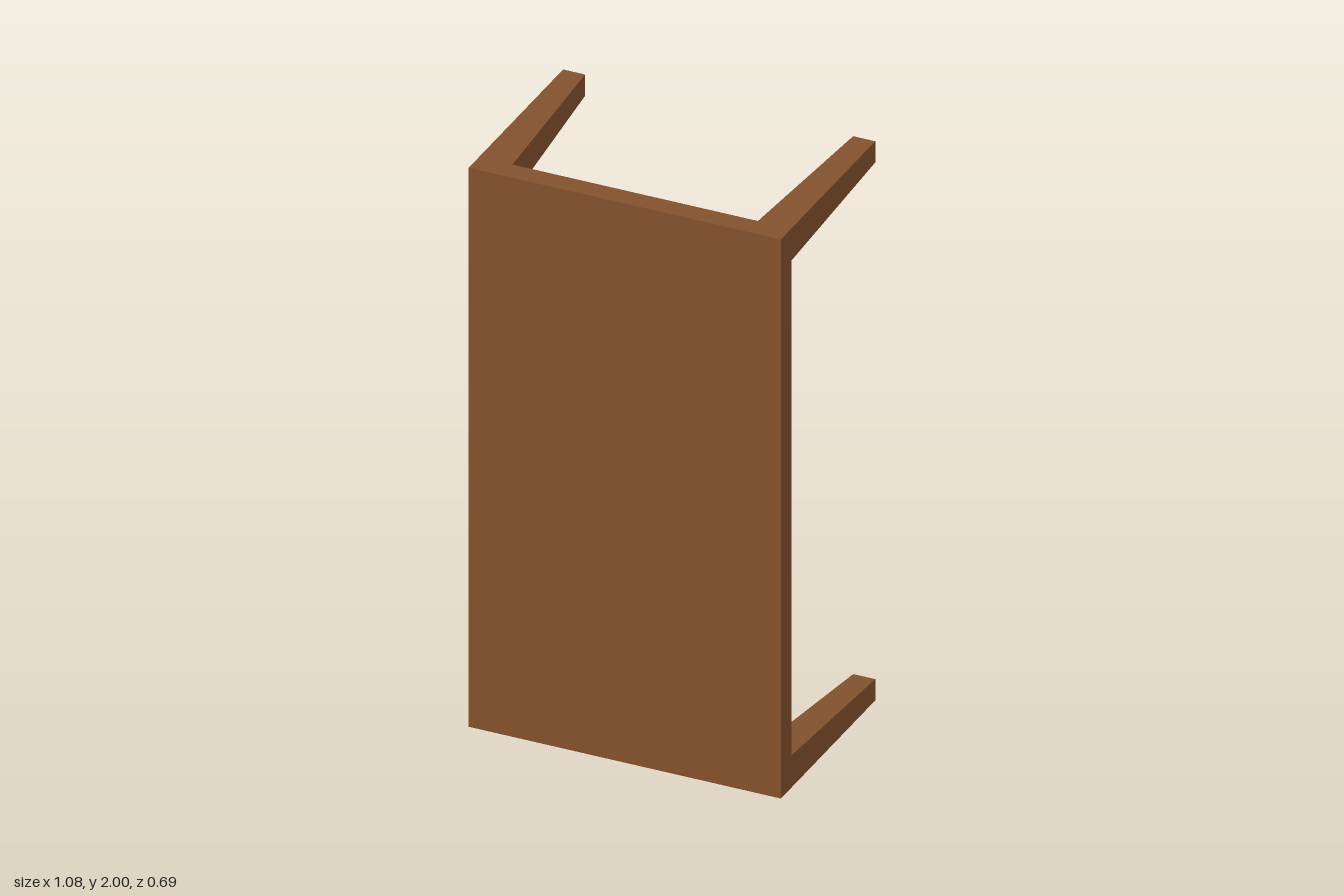
import * as THREE from 'three';

const HALF_W = 0.538, HEIGHT = 2, FRONT = 0.346, BACK = -0.346, PANEL_BACK = 0.27;
const LEG_BASE = 0.115, LEG_TIP = 0.076;

// Leg along z, flush with the outer corner and tapering on its two inner sides
function legGeometry(sx, sy) {
  const length = PANEL_BACK - BACK;
  const geo = new THREE.BoxGeometry(1, 1, length);
  const p = geo.attributes.position;
  for (let i = 0; i < p.count; i++) {
    const size = p.getZ(i) > 0 ? LEG_BASE : LEG_TIP;
    const inX = p.getX(i) * sx < 0 ? size : 0;
    const inY = p.getY(i) * sy < 0 ? size : 0;
    p.setXYZ(i,
      sx * (HALF_W - inX),
      HEIGHT / 2 + sy * (HEIGHT / 2 - inY),
      p.getZ(i) + (PANEL_BACK + BACK) / 2);
  }
  geo.computeVertexNormals();
  return geo;
}

export function createModel() {
  const group = new THREE.Group();
  group.name = 'table';
  const wood = new THREE.MeshStandardMaterial({ color: 0x82512d });
  wood.name = 'brown wood';

  // Table top, standing on its end
  const top = new THREE.Mesh(
    new THREE.BoxGeometry(HALF_W * 2, HEIGHT, FRONT - PANEL_BACK), wood);
  top.position.set(0, HEIGHT / 2, (FRONT + PANEL_BACK) / 2);
  top.name = 'tableTop';
  group.add(top);

  // Four legs, one in each corner
  for (const sx of [-1, 1]) {
    for (const sy of [-1, 1]) {
      const leg = new THREE.Mesh(legGeometry(sx, sy), wood);
      leg.name = (sy > 0 ? 'upper' : 'lower') + (sx > 0 ? 'Left' : 'Right') + 'Leg';
      group.add(leg);
    }
  }
  return group;
}
